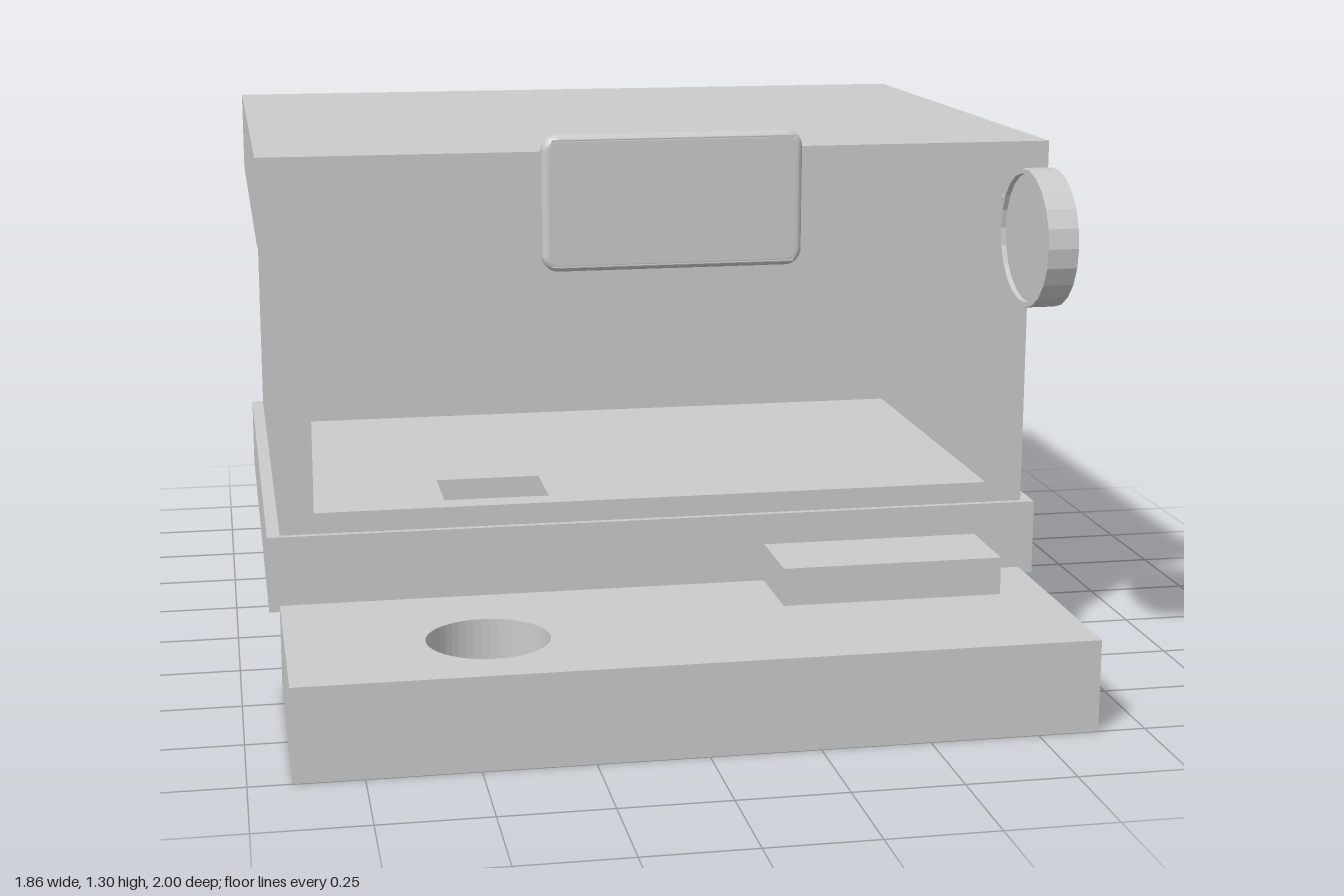
import * as THREE from 'three';

const smooth = new THREE.MeshStandardMaterial({ color: 0xcccccc });
const flat = new THREE.MeshStandardMaterial({ color: 0xcccccc, flatShading: true });

function add(parent, name, geometry, material = flat) {
  const mesh = new THREE.Mesh(geometry, material);
  mesh.name = name;
  parent.add(mesh);
  return mesh;
}

// Box given by its limits on each axis
function block(parent, name, [x0, x1], [y0, y1], [z0, z1]) {
  const g = new THREE.BoxGeometry(x1 - x0, y1 - y0, z1 - z0);
  g.translate((x0 + x1) / 2, (y0 + y1) / 2, (z0 + z1) / 2);
  return add(parent, name, g);
}

function rect([x0, x1], [y0, y1], Type = THREE.Shape) {
  return new Type([[x0, y0], [x1, y0], [x1, y1], [x0, y1]].map(([x, y]) => new THREE.Vector2(x, y)));
}

// Horizontal slab pierced from top to bottom
function slab(parent, name, xs, [y0, y1], zs, hole) {
  const shape = rect(xs, zs);
  shape.holes.push(hole);
  const g = new THREE.ExtrudeGeometry(shape, { depth: y1 - y0, bevelEnabled: false, curveSegments: 24 });
  g.rotateX(Math.PI / 2).translate(0, y1, 0);
  return add(parent, name, g);
}

function roundedRect(w, h, r, Type = THREE.Shape) {
  const s = new Type(), x = w / 2 - r, y = h / 2 - r;
  s.absarc(x, y, r, 0, Math.PI / 2);
  s.absarc(-x, y, r, Math.PI / 2, Math.PI);
  s.absarc(-x, -y, r, Math.PI, Math.PI * 1.5);
  s.absarc(x, -y, r, Math.PI * 1.5, Math.PI * 2);
  s.closePath();
  return s;
}

export function createModel() {
  const model = new THREE.Group();
  model.name = 'hutch';

  // Base, with a square drain hole that continues through the floor
  const drain = () => rect([-0.51, -0.26], [0.165, 0.353], THREE.Path);
  slab(model, 'base', [-0.93, 0.925], [0.2, 0.38], [-1, 0.43], drain());

  // Hollow body, open at front and back and divided by a partition
  const body = new THREE.Group();
  body.name = 'body';
  model.add(body);
  const depth = [-0.98, 0.415], inside = [0.43, 1.015];
  slab(body, 'floor', [-0.9, 0.895], [0.38, 0.43], depth, drain());
  block(body, 'ceiling', [-0.9, 0.895], [1.015, 1.06], depth);
  block(body, 'leftWall', [0.805, 0.895], inside, depth);
  block(body, 'rightWallOuter', [-0.9, -0.885], inside, depth);
  block(body, 'partition', [-0.82, 0.805], inside, [-0.55, -0.51]);

  // Inner layer of the right wall has a small pocket
  const lining = rect(depth, inside);
  lining.holes.push(rect([-0.84, -0.63], [0.71, 0.81], THREE.Path));
  const liningGeometry = new THREE.ExtrudeGeometry(lining, { depth: 0.065, bevelEnabled: false });
  liningGeometry.rotateY(-Math.PI / 2).translate(-0.82, 0, 0);
  add(body, 'rightWallLining', liningGeometry);

  block(model, 'roof', [-0.93, 0.93], [1.06, 1.263], [-1, 0.43]);

  // Front shelf with a round hole and a low step
  const cupHole = new THREE.Path().absarc(-0.455, 0.75, 0.14, 0, Math.PI * 2);
  slab(model, 'shelf', [-0.905, 0.89], [0, 0.215], [0.41, 1], cupHole);
  block(model, 'step', [0.25, 0.775], [0.215, 0.305], [0.42, 0.635]);

  // Framed plate on the roof edge, turned very slightly
  const plate = new THREE.Group();
  plate.name = 'framedPlate';
  plate.position.set(0.018, 1.147, 0.447);
  plate.rotation.y = 0.015;
  model.add(plate);
  const bevel = 0.016;
  const frame = roundedRect(0.61 - 2 * bevel, 0.315 - 2 * bevel, 0.022);
  frame.holes.push(rect([-0.268 - bevel, 0.268 + bevel], [-0.13 - bevel, 0.13 + bevel], THREE.Path));
  const frameGeometry = new THREE.ExtrudeGeometry(frame, {
    depth: 0.05 - 2 * bevel, bevelSize: bevel, bevelThickness: bevel, bevelSegments: 4, curveSegments: 5,
  });
  frameGeometry.translate(0, 0, bevel - 0.025);
  add(plate, 'frame', frameGeometry, smooth);
  add(plate, 'panel', new THREE.BoxGeometry(0.56, 0.28, 0.026));

  // Round side mirror, its axis along x, on two short rods
  const mirror = new THREE.Group();
  mirror.name = 'sideMirror';
  mirror.position.set(0.825, 1.072, 0.67);
  model.add(mirror);
  const ring = [[0.148, -0.035], [0.16, -0.035], [0.16, 0.035], [0.148, 0.035], [0.148, -0.035]];
  const rim = new THREE.LatheGeometry(ring.map(([r, y]) => new THREE.Vector2(r, y)), 22);
  add(mirror, 'mirrorRim', rim.rotateZ(Math.PI / 2).scale(1, 0.99, 1.07));
  const glass = new THREE.CylinderGeometry(0.15, 0.15, 0.046, 22);
  add(mirror, 'mirrorGlass', glass.rotateZ(Math.PI / 2).scale(1, 0.99, 1.07));
  for (const y of [1.13, 1.05]) {
    const rod = new THREE.CylinderGeometry(0.012, 0.012, 0.13, 10).rotateX(Math.PI / 2);
    add(model, 'mirrorRod', rod, smooth).position.set(0.829, y, 0.478);
  }
  return model;
}
